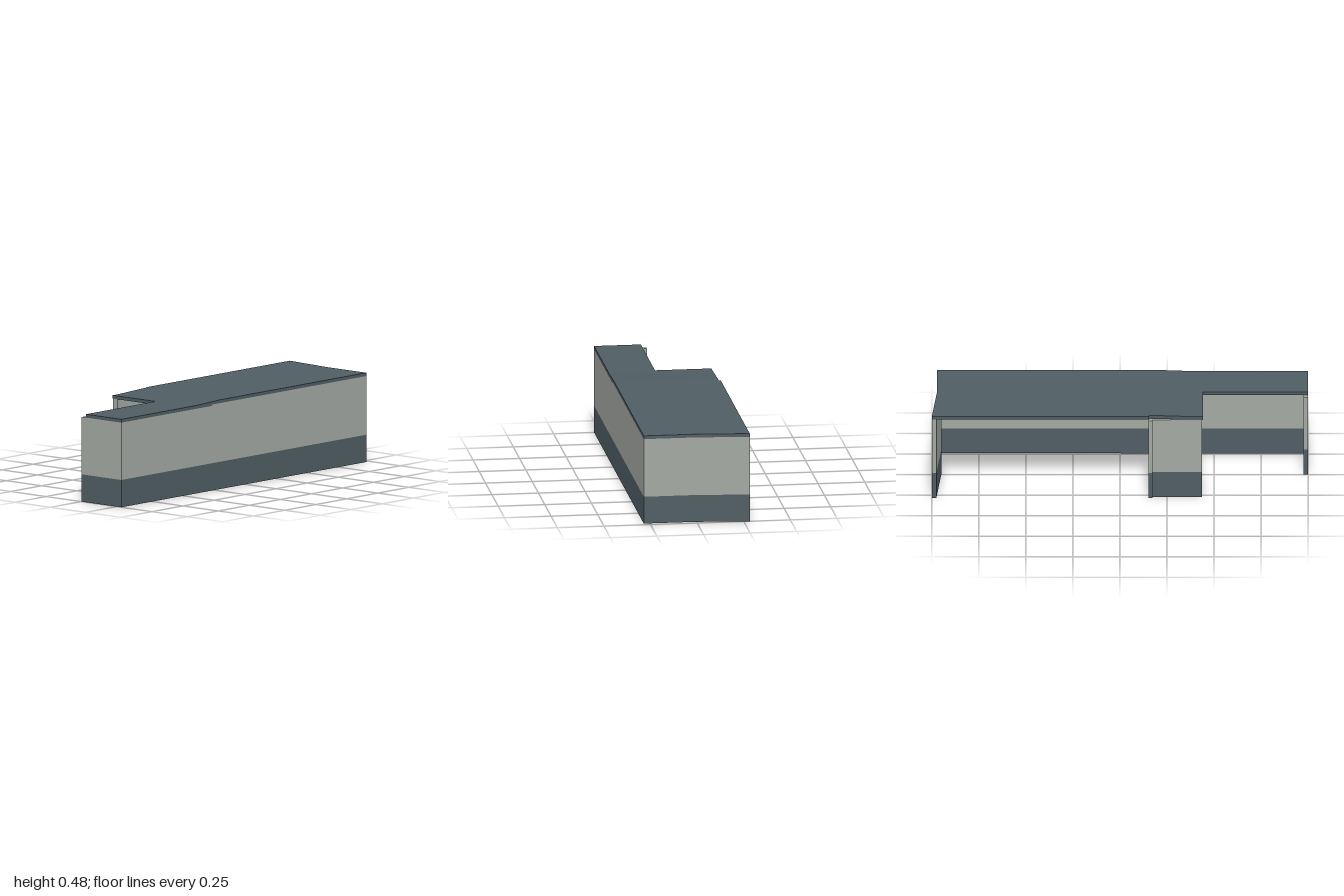
import * as THREE from 'three';

export function createModel() {
  const model = new THREE.Group();
  const slate = new THREE.MeshStandardMaterial({ color: 0x4f5d63 });
  slate.name = 'slate';
  const plaster = new THREE.MeshStandardMaterial({ color: 0xa3a8a2 });
  plaster.name = 'plaster';

  // Raises a plan outline of [x, z] points from y0 to y1
  function slab(name, plan, y0, y1, material, parent = model) {
    const shape = new THREE.Shape(plan.map(([x, z]) => new THREE.Vector2(x, -z)));
    const geometry = new THREE.ExtrudeGeometry(shape, { depth: y1 - y0, bevelEnabled: false });
    geometry.rotateX(-Math.PI / 2).translate(0, y0, 0);
    const mesh = new THREE.Mesh(geometry, material);
    mesh.name = name;
    parent.add(mesh);
  }

  const rect = (x0, x1, z0, z1) => [[x0, z0], [x0, z1], [x1, z1], [x1, z0]];

  // Wall with a slate lower band and a plaster upper band
  const bandTop = 0.147;
  function wall(name, plan, top) {
    const group = new THREE.Group();
    group.name = name;
    slab(name + 'Base', plan, 0, bandTop, slate, group);
    slab(name + 'Upper', plan, bandTop, top, plaster, group);
    model.add(group);
  }

  const W = 0.283, inner = 0.26, lowCeiling = 0.456, highCeiling = 0.463;

  // Long side wall joined to the bent back wall
  wall('backWall', [
    [W, 0.27], [W, -0.973], [0.01, -0.973], [-W, -1],
    [-W, -0.976], [0.01, -0.949], [inner, -0.949], [inner, 0.27],
  ], highCeiling);

  // Rest of the side wall, turning into the front wall
  wall('frontWall', [
    [W, 0.27], [inner, 0.27], [inner, 0.976], [0.003, 0.976], [0.003, 1], [W, 1],
  ], lowCeiling);

  // Short wall on the open side, with its door jamb
  wall('shortWall', rect(-0.271, -0.238, 0.172, 0.437), lowCeiling);
  wall('doorJamb', rect(-0.285, -0.252, 0.151, 0.172), lowCeiling);

  // Roof: high back slab, sloping joint, low front slab
  slab('backRoof', [
    [W, -0.973], [0.01, -0.973], [-0.282, -1], [-0.282, 0.155],
    [-0.271, 0.155], [-0.271, 0.2], [W, 0.2],
  ], highCeiling, 0.481, slate);

  slab('frontRoof', [
    [W, 0.4], [-0.271, 0.4], [-0.271, 0.44], [0.032, 0.44], [0.032, 1], [W, 1],
  ], lowCeiling, 0.474, slate);

  const profile = [
    [0.2, 0.481], [0.4, 0.474], [0.4, lowCeiling],
    [0.27, lowCeiling], [0.27, highCeiling], [0.2, highCeiling],
  ];
  const jointShape = new THREE.Shape(profile.map(([z, y]) => new THREE.Vector2(-z, y)));
  const jointGeometry = new THREE.ExtrudeGeometry(jointShape, { depth: W + 0.271, bevelEnabled: false });
  jointGeometry.rotateY(Math.PI / 2).translate(-0.271, 0, 0);
  const joint = new THREE.Mesh(jointGeometry, slate);
  joint.name = 'roofJoint';
  model.add(joint);

  // Small stepped fixture under the ceiling
  slab('ceilingFixtureTop', rect(-0.093, 0.093, -0.1, 0), 0.443, highCeiling, plaster);
  slab('ceilingFixtureBottom', rect(-0.085, 0.085, -0.092, -0.008), 0.437, 0.443, plaster);

  return model;
}
